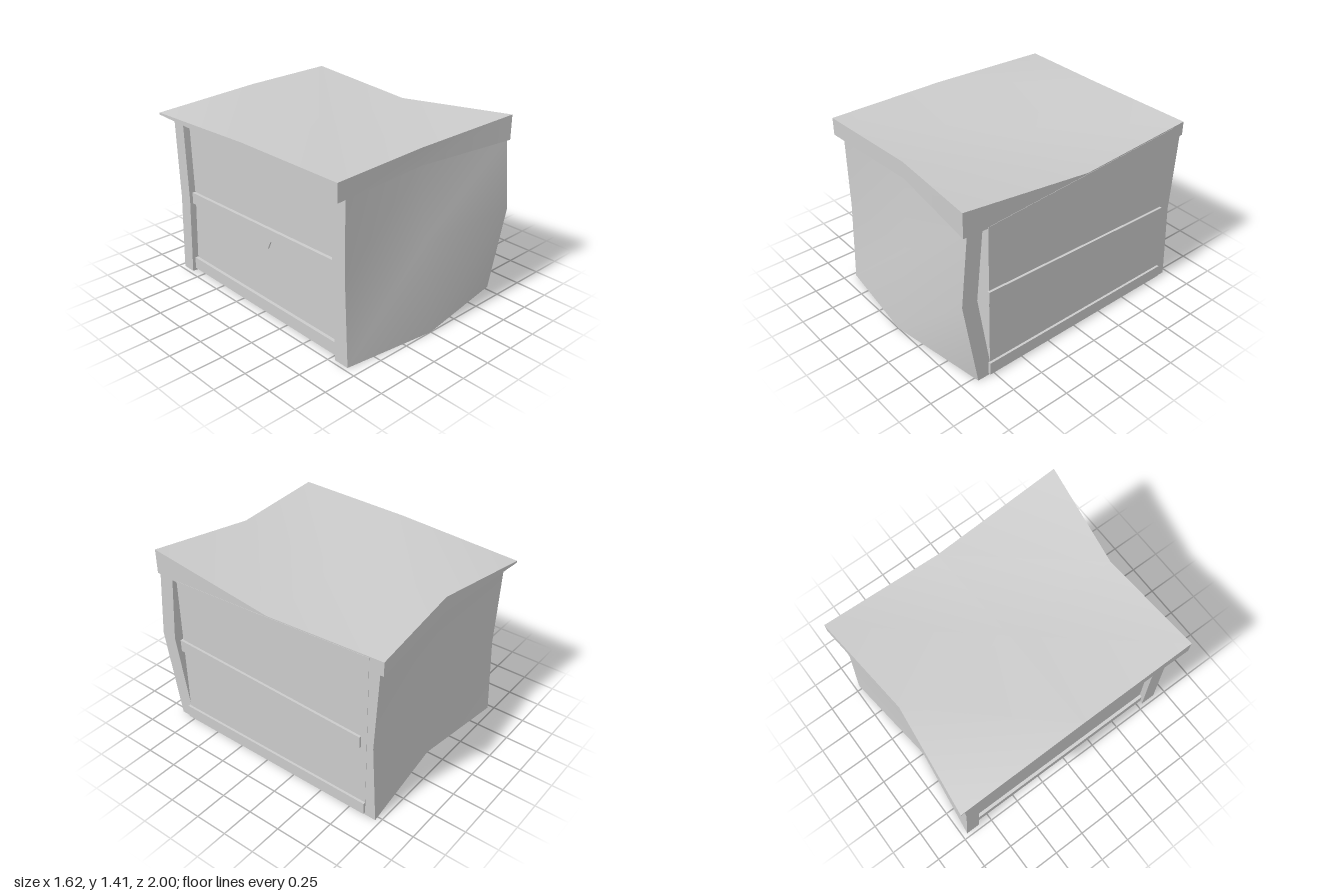
import * as THREE from 'three';

const material = new THREE.MeshStandardMaterial({ color: 0xcccccc });

function addMesh(group, geometry, name) {
  const mesh = new THREE.Mesh(geometry, material);
  mesh.name = name;
  group.add(mesh);
  return mesh;
}

// Moves every vertex of a unit box; u, v, w run from 0 to 1 along x, y, z
function warpedBox(segments, place) {
  const geometry = new THREE.BoxGeometry(1, 1, 1, ...segments);
  const p = geometry.attributes.position;
  for (let i = 0; i < p.count; i++) {
    p.setXYZ(i, ...place(p.getX(i) + 0.5, p.getY(i) + 0.5, p.getZ(i) + 0.5));
  }
  geometry.computeVertexNormals();
  return geometry;
}

const PANEL_X = [-0.72, 0, 0.785];

// Bowed upright board; outer holds the z of its outside face, rows from bottom to top
function bowedPanel(rows, outer, thickness, isFront) {
  return warpedBox([2, 2, 1], (u, v, w) => {
    const i = Math.round(u * 2), j = Math.round(v * 2);
    const inward = isFront ? -(1 - w) : w;
    return [PANEL_X[i], rows[j][i], outer[j][i] + inward * thickness];
  });
}

// Side board or batten: an outline of [z, y] points given thickness along x
function sideBoard(points, x0, x1) {
  const shape = new THREE.Shape(points.map(([z, y]) => new THREE.Vector2(-z, y)));
  const geometry = new THREE.ExtrudeGeometry(shape, { depth: x1 - x0, bevelEnabled: false });
  geometry.rotateY(Math.PI / 2);
  geometry.translate(x0, 0, 0);
  return geometry;
}

export function createModel() {
  const group = new THREE.Group();

  // Front panel bulges at the bottom centre, back panel bows inwards
  addMesh(group, bowedPanel(
    [[0, 0, 0], [0.65, 0.65, 0.7], [1.24, 1.24, 1.26]],
    [[0.91, 1.0, 0.88], [0.88, 0.895, 0.995], [0.88, 0.845, 0.94]],
    0.12, true), 'frontPanel');
  addMesh(group, bowedPanel(
    [[0, 0, 0], [0.62, 0.62, 0.62], [1.25, 1.27, 1.25]],
    [[-0.96, -0.87, -0.965], [-0.93, -0.87, -0.93], [-0.95, -0.88, -0.965]],
    0.11, false), 'backPanel');

  // Solid body between the panels
  const body = new THREE.BoxGeometry(1.42, 1.16, 1.6);
  body.translate(0.05, 0.6, -0.02);
  addMesh(group, body, 'body');

  // Side boards: the right one is flush, the left one recessed
  addMesh(group, sideBoard(
    [[0.78, 0.02], [-0.88, 0.02], [-0.88, 1.32], [-0.06, 1.272], [0.78, 1.225]],
    0.7, 0.787), 'rightSide');
  addMesh(group, sideBoard(
    [[0.8, 0.02], [-0.86, 0.02], [-0.86, 1.27], [0.8, 1.24]],
    -0.67, -0.6), 'leftSide');

  // Battens on both sides
  const lower = [[0.79, 0.015], [-0.88, 0.02], [-0.88, 0.115], [0.79, 0.115]];
  const upper = [[0.79, 0.635], [-0.835, 0.59], [-0.835, 0.68], [0.79, 0.73]];
  for (const [side, x0, x1] of [['right', 0.78, 0.805], ['left', -0.695, -0.665]]) {
    addMesh(group, sideBoard(lower, x0, x1), side + 'LowerBatten');
    addMesh(group, sideBoard(upper, x0, x1), side + 'UpperBatten');
  }

  // Small grip under the left upper batten
  addMesh(group, sideBoard(
    [[0.1, 0.62], [-0.1, 0.62], [-0.06, 0.54], [0.06, 0.54]], -0.68, -0.665), 'grip');

  // Warped lid; rows run from back to front, columns from -x to +x
  const lidX = [-0.81, -0.01, 0.785];
  const lidZ = [[-1, -0.915, -0.99], [-0.02, -0.02, -0.06], [0.905, 0.855, 0.97]];
  const lidTop = [[1.3, 1.365, 1.335], [1.345, 1.285, 1.28], [1.355, 1.348, 1.412]];
  const lidBottom = [[1.285, 1.25, 1.23], [1.27, 1.19, 1.17], [1.22, 1.22, 1.225]];
  addMesh(group, warpedBox([2, 1, 2], (u, v, w) => {
    const i = Math.round(u * 2), k = Math.round(w * 2);
    return [lidX[i], (v > 0.5 ? lidTop : lidBottom)[k][i], lidZ[k][i]];
  }), 'lid');

  return group;
}
